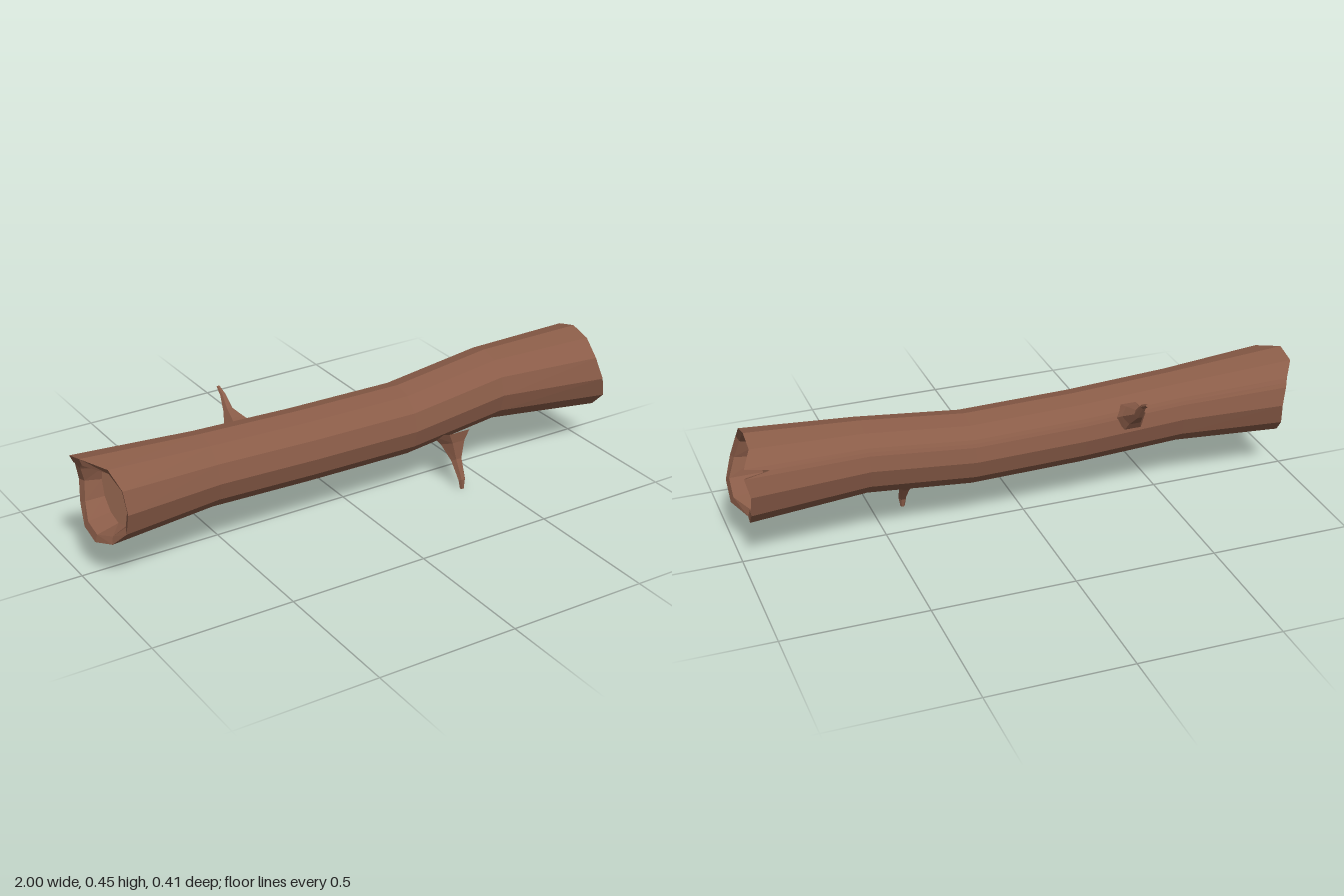
import * as THREE from 'three';

const bark = new THREE.MeshStandardMaterial({ color: 0x8a5c48 });
bark.name = 'bark';
const wood = new THREE.MeshStandardMaterial({ color: 0xba8064 });
wood.name = 'cutWood';

// Joins closed rings of points into a faceted skin
function loft(rings, material, name) {
  const n = rings[0].length;
  const index = [];
  for (let i = 0; i < rings.length - 1; i++) {
    for (let j = 0; j < n; j++) {
      const k = (j + 1) % n;
      const a = i * n + j, b = i * n + k, c = a + n, d = b + n;
      index.push(a, c, d, a, d, b);
    }
  }
  const indexed = new THREE.BufferGeometry().setFromPoints(rings.flat());
  indexed.setIndex(index);
  const geometry = indexed.toNonIndexed();
  geometry.computeVertexNormals();
  const mesh = new THREE.Mesh(geometry, material);
  mesh.name = name;
  return mesh;
}

// Twelve sides, with a narrow split at the upper back
const angles = [0, 30, 60, 90, 120, 144, 150, 156, 180, 210, 240, 270, 300, 330];
// Ragged end outlines, one x per angle
const leftEdge = [-0.915, -0.92, -0.94, -1, -1, -0.965, -0.96, -0.955, -0.94, -0.95, -0.965, -0.965, -0.94, -0.915];
const rightEdge = [0.975, 0.955, 0.955, 0.955, 0.955, 0.985, 0.9, 0.99, 0.975, 0.975, 0.97, 0.96, 1, 1];

// Ring around the log; x is one number or a list per angle
function logRing(x, y, z, r) {
  return angles.map((deg, j) => {
    const a = THREE.MathUtils.degToRad(deg);
    return new THREE.Vector3(Array.isArray(x) ? x[j] : x, y + r * Math.sin(a), z + r * Math.cos(a));
  });
}

// Branch stub in a y-z plane: each step is [y, z, half width in x, half thickness]
function branch(x, steps, name) {
  const side = new THREE.Vector3(1, 0, 0);
  const centres = steps.map(([y, z]) => new THREE.Vector3(x, y, z));
  const rings = steps.map(([, , w, t], i) => {
    const dir = centres[Math.min(i + 1, steps.length - 1)].clone().sub(centres[Math.max(i - 1, 0)]).normalize();
    const up = side.clone().cross(dir);
    return Array.from({ length: 6 }, (_, j) => {
      const a = j * Math.PI / 3;
      return centres[i].clone().addScaledVector(side, w * Math.cos(a)).addScaledVector(up, t * Math.sin(a));
    });
  });
  // Close the tip
  rings.push(rings[0].map(() => centres[centres.length - 1].clone()));
  return loft(rings, bark, name);
}

export function createModel() {
  const group = new THREE.Group();
  group.name = 'log';

  // Bark skin, running over both rims into the hollow ends
  group.add(loft([
    logRing(-0.88, 0.293, 0.045, 0.11),
    logRing(leftEdge.map(x => x + 0.008), 0.293, 0.045, 0.13),
    logRing(leftEdge, 0.293, 0.045, 0.155),
    logRing(-0.57, 0.292, 0.043, 0.128),
    logRing(-0.2, 0.277, 0.037, 0.127),
    logRing(0.2, 0.271, 0.035, 0.127),
    logRing(0.57, 0.312, 0.028, 0.129),
    logRing(rightEdge, 0.297, 0.05, 0.157),
    logRing(rightEdge.map(x => x - 0.008), 0.299, 0.05, 0.132),
    logRing(0.88, 0.299, 0.05, 0.111),
  ], bark, 'trunk'));

  // Pale cut faces set inside the ends
  group.add(loft([logRing(-0.88, 0.293, 0.045, 0), logRing(-0.88, 0.293, 0.045, 0.11)], wood, 'rightCutFace'));
  group.add(loft([logRing(0.88, 0.299, 0.05, 0.111), logRing(0.88, 0.299, 0.05, 0)], wood, 'leftCutFace'));

  // Broken branches
  group.add(branch(0.39, [
    [0.2, 0.095, 0.085, 0.06],
    [0.16, 0.105, 0.05, 0.045],
    [0.1, 0.131, 0.022, 0.02],
    [0.035, 0.168, 0.014, 0.011],
    [0.001, 0.17, 0.008, 0.007],
  ], 'lowerBranch'));
  group.add(branch(-0.37, [
    [0.335, -0.065, 0.06, 0.052],
    [0.352, -0.092, 0.042, 0.036],
    [0.379, -0.14, 0.018, 0.017],
    [0.422, -0.174, 0.01, 0.009],
    [0.44, -0.205, 0.006, 0.005],
  ], 'upperBranch'));

  return group;
}
